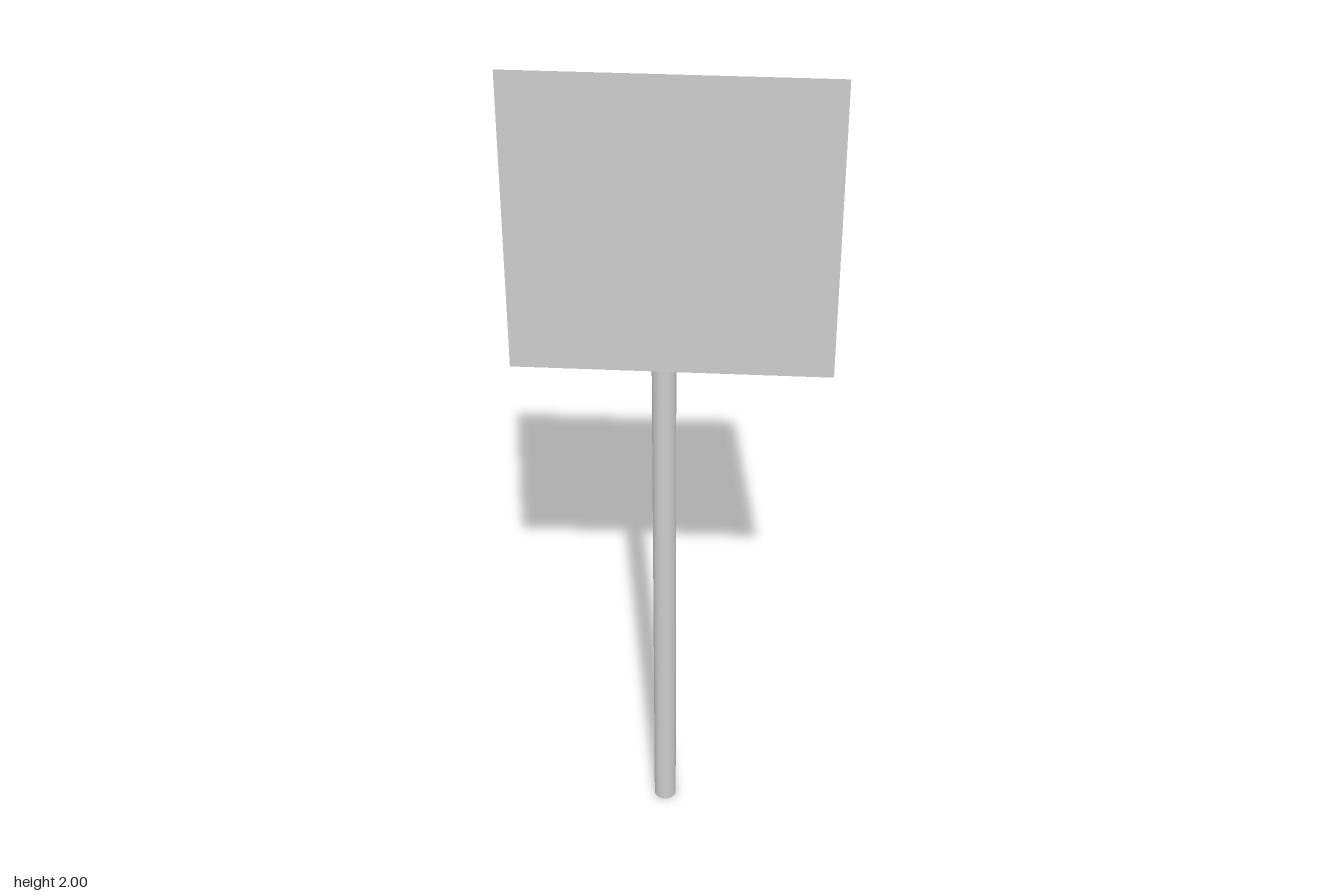
import * as THREE from 'three';

export function createModel() {
  const group = new THREE.Group();
  group.name = 'signpost';

  // Round, capped post standing just behind the panel
  const height = 1.815;
  const post = new THREE.Mesh(
    new THREE.CylinderGeometry(0.0265, 0.0265, height, 32),
    new THREE.MeshStandardMaterial({ color: 0xcccccc })
  );
  post.name = 'post';
  post.position.set(-0.0185, height / 2, -0.0085);

  // Paper-thin square sign panel, facing +z
  const size = 0.69;
  const panel = new THREE.Mesh(
    new THREE.PlaneGeometry(size, size),
    new THREE.MeshStandardMaterial({ color: 0xcccccc, side: THREE.DoubleSide })
  );
  panel.name = 'signPanel';
  panel.position.set(0, 2 - size / 2, 0.035);

  group.add(post, panel);
  return group;
}
